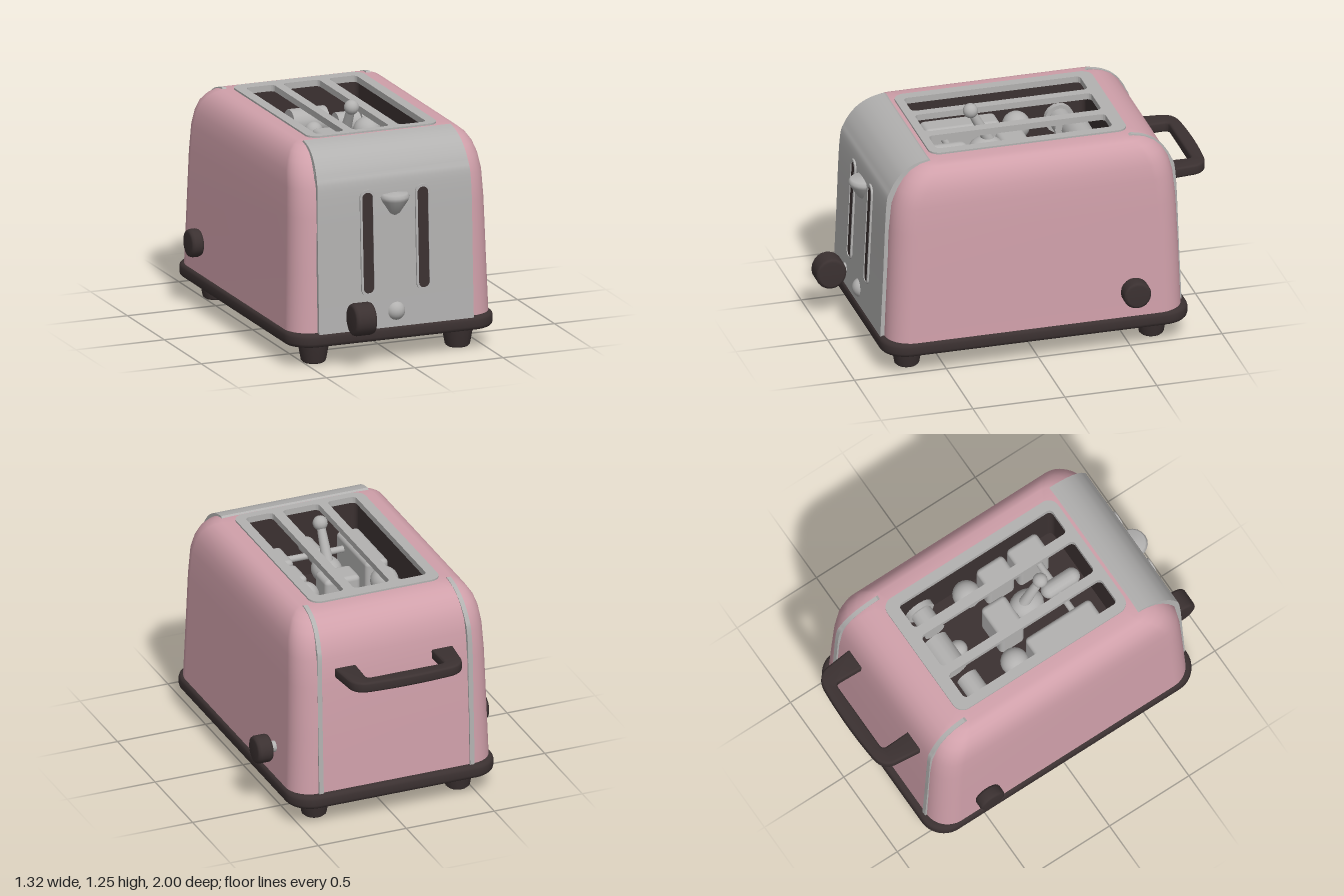
import * as THREE from 'three';
import { toCreasedNormals } from 'three/addons/utils/BufferGeometryUtils.js';
import { RoundedBoxGeometry } from 'three/addons/geometries/RoundedBoxGeometry.js';

const CX = -0.03; // centre line of the housing

const material = (name, color, extra = {}) =>
  Object.assign(new THREE.MeshStandardMaterial({ color, ...extra }), { name });

// Rounded rectangle from x0..x1, y0..y1 as a Shape
function roundRect(x0, x1, y0, y1, r) {
  const s = new THREE.Shape();
  s.absarc(x1 - r, y1 - r, r, 0, Math.PI / 2);
  s.absarc(x0 + r, y1 - r, r, Math.PI / 2, Math.PI);
  s.absarc(x0 + r, y0 + r, r, Math.PI, Math.PI * 1.5);
  s.absarc(x1 - r, y0 + r, r, Math.PI * 1.5, Math.PI * 2);
  s.closePath();
  return s;
}

// Extrude a plan shape (x, -z) upwards from y
function slab(shape, y, height, bevel = 0) {
  const g = new THREE.ExtrudeGeometry(shape, {
    depth: height - 2 * bevel, curveSegments: 8, bevelEnabled: bevel > 0,
    bevelSize: bevel, bevelThickness: bevel, bevelOffset: -bevel, bevelSegments: 3,
  });
  g.rotateX(-Math.PI / 2).translate(0, y + bevel, 0);
  return toCreasedNormals(g, 0.6);
}

// Skin through stacked rounded rectangles: [y, halfWidth, zFront, zBack, radius]
function loft(levels) {
  const n = 9, pos = [], idx = [], count = n * 4;
  for (const [y, hx, zf, zb, r] of levels) {
    for (let k = 0; k < 4; k++) {
      const mid = (k + 0.5) * Math.PI / 2;
      const px = CX + Math.sign(Math.cos(mid)) * (hx - r);
      const pz = Math.sin(mid) > 0 ? zf - r : zb + r;
      for (let i = 0; i < n; i++) {
        const a = (k + i / (n - 1)) * Math.PI / 2;
        pos.push(px + r * Math.cos(a), y, pz + r * Math.sin(a));
      }
    }
  }
  for (let l = 0; l < levels.length - 1; l++) {
    for (let j = 0; j < count; j++) {
      const a = l * count + j, b = l * count + (j + 1) % count;
      idx.push(a, a + count, b, b, a + count, b + count);
    }
  }
  const g = new THREE.BufferGeometry();
  g.setAttribute('position', new THREE.Float32BufferAttribute(pos, 3));
  g.setIndex(idx);
  g.computeVertexNormals();
  return g;
}

// Curved band following an end of the housing, between x0 and x1
const END_CURVE = [[0.832, 0.18], [0.818, 0.5], [0.8, 0.92], [0.775, 1.02],
  [0.73, 1.09], [0.68, 1.132], [0.625, 1.157], [0.565, 1.17]];
function endBand(x0, x1, side, shift) {
  const curve = new THREE.SplineCurve(END_CURVE.map(([z, y]) => new THREE.Vector2(-side * (z + shift), y)));
  const outer = curve.getPoints(36);
  const inner = outer.map((p) => new THREE.Vector2(p.x + side * 0.05, p.y - (p.y > 1 ? 0.03 : 0))).reverse();
  const g = new THREE.ExtrudeGeometry(new THREE.Shape([...outer, ...inner]),
    { depth: x1 - x0, bevelEnabled: false });
  g.rotateY(Math.PI / 2).translate(x0, 0, 0);
  const p = g.attributes.position; // narrow slightly towards the top
  for (let i = 0; i < p.count; i++) {
    const t = Math.max(0, p.getY(i) - 0.8) / 0.37;
    p.setX(i, CX + (p.getX(i) - CX) * (1 - 0.05 * t * t));
  }
  return toCreasedNormals(g, 0.6);
}

export function createModel() {
  const model = new THREE.Group();
  const pink = material('pink enamel', 0xd0a0aa);
  const grey = material('grey metal', 0xb2b1b0);
  const dark = material('dark brown plastic', 0x3b3131);
  const darkInside = material('dark interior', 0x3b3131, { side: THREE.DoubleSide });

  const add = (name, geometry, mat, x = 0, y = 0, z = 0, parent = model) => {
    const m = new THREE.Mesh(geometry, mat);
    m.name = name;
    m.position.set(x, y, z);
    parent.add(m);
    return m;
  };
  const knobProfile = (r, len) => {
    const b = 0.018, h = len / 2;
    const pts = [[0, -h], [r - b, -h], [r - b * 0.3, -h + b * 0.3], [r, -h + b],
      [r, h - b], [r - b * 0.3, h - b * 0.3], [r - b, h], [0, h]];
    const g = new THREE.LatheGeometry(pts.map(([a, c]) => new THREE.Vector2(a, c)), 20);
    return g.rotateZ(-Math.PI / 2);
  };
  const rodX = (r, len) => new THREE.CylinderGeometry(r, r, len, 16).rotateZ(Math.PI / 2);

  // Housing
  add('housing', loft([
    [0.18, 0.57, 0.81, -0.795, 0.13], [0.5, 0.56, 0.798, -0.785, 0.13],
    [0.8, 0.552, 0.785, -0.772, 0.13], [0.95, 0.545, 0.77, -0.757, 0.13],
    [1.03, 0.535, 0.74, -0.735, 0.13], [1.085, 0.517, 0.705, -0.705, 0.12],
    [1.125, 0.492, 0.665, -0.665, 0.11], [1.15, 0.462, 0.62, -0.62, 0.09],
    [1.162, 0.43, 0.58, -0.58, 0.07], [1.165, 0.36, 0.53, -0.535, 0.05],
  ]), pink);

  // Front panel and the two seam strips at the back
  add('frontPanel', endBand(-0.47, 0.405, 1, 0), grey);
  add('rightSeam', endBand(-0.472, -0.447, -1, -0.026), grey);
  add('leftSeam', endBand(0.385, 0.41, -1, -0.026), grey);

  // Base and feet
  add('base', slab(roundRect(-0.615, 0.555, -0.84, 0.83, 0.14), 0.115, 0.075, 0.022), dark);
  const footProfile = [[0, 0], [0.055, 0], [0.066, 0.01], [0.086, 0.12]]
    .map(([r, y]) => new THREE.Vector2(r, y));
  for (const x of [-0.44, 0.375])
    for (const z of [-0.65, 0.68])
      add('foot', new THREE.LatheGeometry(footProfile, 16), dark, x, 0, z);

  // Top frame with three openings
  const frame = roundRect(-0.4, 0.335, -0.535, 0.54, 0.06);
  for (const [x0, x1] of [[-0.345, -0.185], [-0.135, 0.07], [0.125, 0.28]])
    frame.holes.push(roundRect(x0, x1, -0.49, 0.47, 0.025));
  add('topFrame', slab(frame, 1.14, 0.034), grey);

  // Dark cavity below the frame
  add('cavityWalls', loft([[0.75, 0.33, 0.51, -0.5, 0.03], [1.15, 0.33, 0.51, -0.5, 0.03]]), darkInside);
  add('cavityFloor', new THREE.BoxGeometry(0.66, 0.02, 1.01), dark, CX, 0.75, 0);

  // Mechanism inside the cavity
  const inner = new THREE.Group();
  inner.name = 'mechanism';
  model.add(inner);
  const block = (w, h, d, x, y, z) =>
    add('block', new RoundedBoxGeometry(w, h, d, 3, 0.025), grey, x, y, z, inner);
  block(0.13, 0.28, 0.41, -0.265, 0.9, 0.205);
  block(0.13, 0.26, 0.17, 0.195, 0.9, 0.085);
  block(0.14, 0.26, 0.19, 0.195, 0.9, 0.29);
  block(0.2, 0.26, 0.15, -0.03, 0.9, -0.02);
  for (const x of [-0.26, 0.19]) {
    add('roller', new THREE.SphereGeometry(0.075, 20, 14), grey, x, 0.98, -0.1, inner);
    add('bracket', rodX(0.06, 0.15), grey, x, 0.96, -0.35, inner);
    add('bracketCap', rodX(0.08, 0.03), grey, x + (x < 0 ? -0.06 : 0.065), 0.96, -0.35, inner);
  }
  add('drum', rodX(0.075, 0.2), grey, CX, 0.98, -0.385, inner);
  add('drumTip', new THREE.SphereGeometry(0.05, 16, 12), grey, CX, 0.95, -0.3, inner);
  add('hub', new THREE.SphereGeometry(0.08, 20, 14), grey, CX, 0.98, 0.13, inner).scale.set(1, 0.9, 1.2);
  add('crossRod', rodX(0.018, 0.34), grey, -0.04, 0.98, 0.31, inner);
  add('shaft', new THREE.CapsuleGeometry(0.045, 0.14, 6, 14).rotateX(Math.PI / 2), grey, -0.035, 0.99, 0.34, inner);

  // Small stick with a bead rising through the top
  const stick = new THREE.Group();
  stick.name = 'topStick';
  stick.position.set(CX, 1.213, 0.215);
  stick.rotation.x = 0.5;
  model.add(stick);
  add('bead', new THREE.SphereGeometry(0.04, 14, 10), grey, 0, 0, 0, stick);
  add('stem', new THREE.CylinderGeometry(0.022, 0.032, 0.24, 14), grey, 0, -0.12, 0, stick);

  // Front slots: dark plate inside a raised rim
  for (const x of [-0.188, 0.125]) {
    const slot = new THREE.Group();
    slot.name = 'frontSlot';
    slot.position.set(x, 0.65, 0.813);
    slot.rotation.x = -0.045;
    model.add(slot);
    const rim = roundRect(-0.042, 0.042, -0.285, 0.285, 0.04);
    rim.holes.push(roundRect(-0.03, 0.03, -0.27, 0.27, 0.028));
    add('slotRim', new THREE.ExtrudeGeometry(rim, { depth: 0.01, bevelEnabled: false }), grey, 0, 0, 0, slot);
    add('slotOpening', new THREE.ExtrudeGeometry(roundRect(-0.032, 0.032, -0.272, 0.272, 0.03),
      { depth: 0.005, bevelEnabled: false }), dark, 0, 0, 0, slot);
  }

  // Front lever, button and dial
  const lever = [[0, -0.09], [0.03, -0.07], [0.075, 0], [0.082, 0.02], [0.07, 0.035], [0, 0.042]]
    .map(([r, y]) => new THREE.Vector2(r, y));
  add('frontLever', new THREE.LatheGeometry(lever, 20), grey, CX, 0.865, 0.795);
  add('frontButton', new THREE.SphereGeometry(0.054, 20, 14), grey, CX, 0.267, 0.805);
  add('frontDial', knobProfile(0.083, 0.12), dark, -0.265, 0.272, 0.917).scale.set(1, 1.05, 1);
  add('frontDialStem', new THREE.CylinderGeometry(0.03, 0.03, 0.1, 14).rotateX(Math.PI / 2), grey,
    -0.265, 0.272, 0.83);

  // Side knobs
  add('leftKnob', knobProfile(0.075, 0.09), dark, 0.61, 0.355, -0.5);
  add('leftKnobStem', rodX(0.03, 0.08), grey, 0.54, 0.355, -0.5);
  add('rightKnob', knobProfile(0.075, 0.07), dark, -0.625, 0.355, -0.5);

  // Back handle
  const h = new THREE.Shape();
  h.moveTo(-0.365, 0.76);
  h.lineTo(-0.35, 0.91);
  h.quadraticCurveTo(-0.34, 0.98, -0.26, 0.99);
  h.quadraticCurveTo(CX, 1.01, 0.2, 0.99);
  h.quadraticCurveTo(0.28, 0.98, 0.29, 0.91);
  h.lineTo(0.305, 0.76);
  h.lineTo(0.185, 0.76);
  h.lineTo(0.19, 0.9);
  h.quadraticCurveTo(0.19, 0.925, 0.16, 0.925);
  h.lineTo(-0.22, 0.925);
  h.quadraticCurveTo(-0.25, 0.925, -0.25, 0.9);
  h.lineTo(-0.245, 0.76);
  h.closePath();
  add('backHandle', slab(h, 0.833, 0.058, 0.012), dark);

  return model;
}
